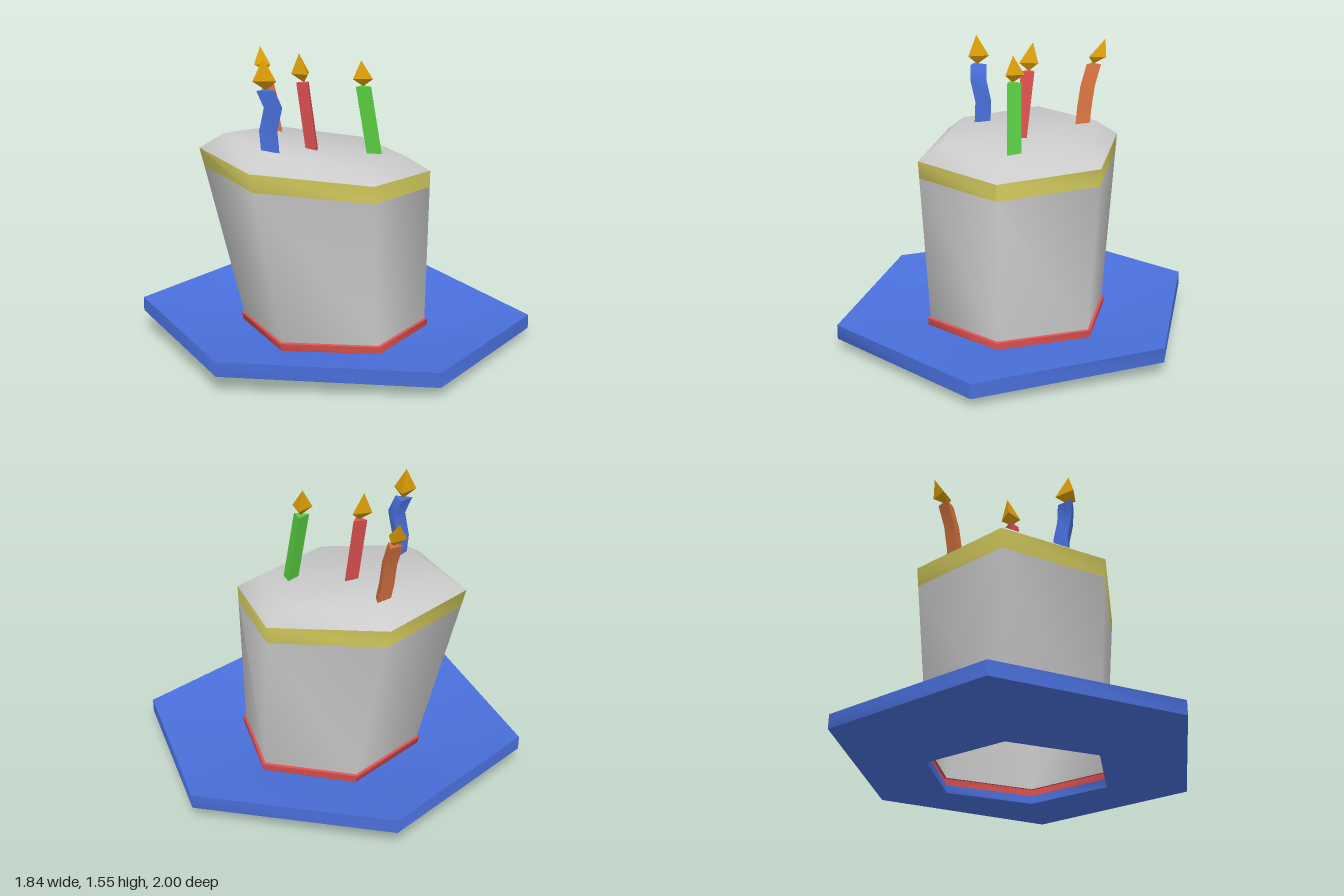
import * as THREE from 'three';
import { toCreasedNormals } from 'three/addons/utils/BufferGeometryUtils.js';

// Skin a stack of closed rings, each an array of [x, y, z]
function loft(rings, crease = 1.1) {
  const n = rings[0].length;
  const index = [];
  for (let r = 0; r < rings.length - 1; r++) {
    for (let i = 0; i < n; i++) {
      const a = r * n + i, b = r * n + (i + 1) % n;
      index.push(a, b, a + n, b, b + n, a + n);
    }
  }
  const geo = new THREE.BufferGeometry();
  geo.setAttribute('position', new THREE.Float32BufferAttribute(rings.flat(2), 3));
  geo.setIndex(index);
  return toCreasedNormals(geo, crease);
}

function part(name, geometry, color, options = {}) {
  const mesh = new THREE.Mesh(geometry, new THREE.MeshStandardMaterial({ color, ...options }));
  mesh.name = name;
  return mesh;
}

// Regular horizontal ring, counter-clockwise from above
const polygon = (sides, radius, [x, y, z], turn = 0) =>
  Array.from({ length: sides }, (_, i) => {
    const a = turn + (i / sides) * Math.PI * 2;
    return [x + Math.sin(a) * radius, y, z + Math.cos(a) * radius];
  });

// Blend two rings
const mix = (a, b, t) => a.map((p, i) => p.map((v, k) => v + (b[i][k] - v) * t));

// Shrink a ring about a centre, then raise it
const shrink = (ring, s, cx, cz, dy) =>
  ring.map(([x, y, z]) => [cx + (x - cx) * s, y + dy, cz + (z - cz) * s]);

const BLUE = 0x4a70dc, RED = 0xdb5050, GREEN = 0x58cc42, ORANGE = 0xd57240;
const YELLOW = 0xd8d060, GOLD = 0xd99c08, GREY = 0xcccccc;
const open = { side: THREE.DoubleSide };

export function createModel() {
  const model = new THREE.Group();
  model.name = 'cakeHat';

  // Slightly skewed, tilted brim with an open hole under the crown
  const outline = [[0.05, 1], [0.92, 0.52], [0.86, -0.48], [-0.06, -1], [-0.92, -0.52], [-0.88, 0.47]];
  const edge = (h) => outline.map(([x, z]) => [x, h - 0.027 * x - 0.022 * z, z]);
  const tilt = (ring) => ring.map(([x, y, z]) => [x, y - 0.012 * x - 0.012 * z, z]);
  const hole = tilt(polygon(6, 0.49, [0, 0.012, 0]));
  const seat = tilt(polygon(6, 0.49, [0, 0.055, 0]));
  const lip = tilt(polygon(6, 0.53, [0, 0.008, 0]));
  model.add(part('brim', loft([hole, lip, edge(0.077), edge(0.152), seat, hole]), BLUE, open));

  // Crown wall widening and leaning up to its shoulder
  const shoulder = [[-0.06, 0.53], [0.44, 0.25], [0.41, -0.31], [-0.13, -0.62], [-0.63, -0.35], [-0.59, 0.23]]
    .map(([x, z]) => [x, 0.965 - 0.08 * x - 0.05 * z, z]);
  const wall = (t) => mix(seat, shoulder, t);
  model.add(part('crownWall', loft([wall(0.045), wall(0.9)]), GREY, open));
  model.add(part('icingBand', loft([wall(0.9), wall(1)]), YELLOW, open));

  // Piped ring around the crown's foot
  model.add(part('baseBand', loft([seat, shrink(wall(0), 1.03, 0, 0, 0.004),
    shrink(wall(0.045), 1.03, 0, 0, 0), wall(0.05)]), RED, open));

  // Rounded shoulder and dimpled top
  const rim = shrink(shoulder, 0.78, -0.1, -0.05, 0.08);
  const middle = polygon(6, 0, [-0.1, 1.03, -0.08]);
  model.add(part('crownTop', loft([shoulder, rim, middle]), GREY, open));

  // Three-sided candles: a crooked path ending in a flame tip
  const candles = [
    { name: 'blue', color: BLUE, turn: -1.57, r: 0.053, f: 0.068, tip: [-0.45, 1.545, 0.1],
      path: [[-0.405, 1.02, 0.09], [-0.415, 1.18, 0.08], [-0.4, 1.3, 0.11], [-0.435, 1.385, 0.1]] },
    { name: 'red', color: RED, turn: 0, r: 0.042, f: 0.06, tip: [-0.145, 1.53, -0.13],
      path: [[-0.1, 1, -0.045], [-0.13, 1.38, -0.1]] },
    { name: 'green', color: GREEN, turn: -1.5, r: 0.046, f: 0.06, tip: [0.12, 1.5, 0.065],
      path: [[0.19, 0.99, 0.09], [0.13, 1.365, 0.07]] },
    { name: 'orange', color: ORANGE, turn: 0.3, r: 0.046, f: 0.055, tip: [-0.18, 1.53, -0.56],
      path: [[-0.14, 1.02, -0.41], [-0.16, 1.16, -0.43], [-0.165, 1.28, -0.45], [-0.18, 1.395, -0.49]] },
  ];
  for (const { name, color, turn, r, f, tip, path } of candles) {
    const end = path[path.length - 1];
    const stick = path.map((p) => polygon(3, r, p, turn));
    stick.push(polygon(3, 0, end));
    const belly = end.map((v, k) => v + (tip[k] - v) * 0.3);
    const flame = [polygon(3, 0, end), polygon(3, f, belly, turn), polygon(3, 0, tip)];
    const candle = new THREE.Group();
    candle.name = name + 'Candle';
    candle.add(part('stick', loft(stick, 0.6), color), part('flame', loft(flame, 0.6), GOLD));
    model.add(candle);
  }
  return model;
}
